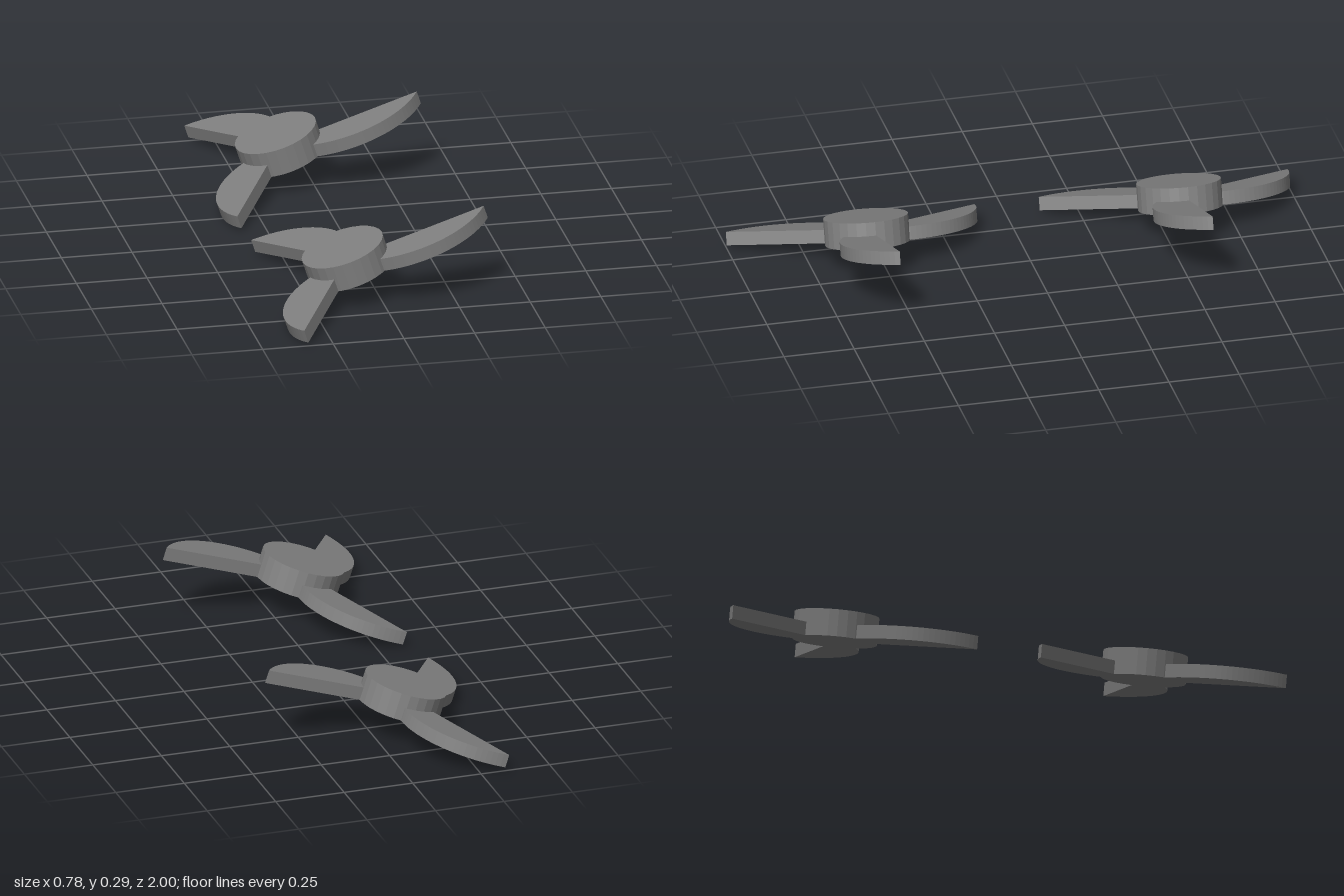
import * as THREE from 'three';

const R = 0.1475;            // hub radius
const HUB_H = 0.0945;
const BLADE_H = 0.0472;
const TILT = THREE.MathUtils.degToRad(18);

const material = new THREE.MeshStandardMaterial({ color: 0x808080, flatShading: true });

// Circular-segment blade: straight edge along +x, bulging toward +z
function bladeGeometry() {
  const half = 2 * R * Math.sin(Math.PI / 3);
  const shape = new THREE.Shape();
  shape.moveTo(0, 0);
  shape.lineTo(2 * half, 0);
  shape.absarc(half, -R, 2 * R, Math.PI / 6, Math.PI * 5 / 6, false);
  const geo = new THREE.ExtrudeGeometry(shape, { depth: BLADE_H, bevelEnabled: false, curveSegments: 16 });
  return geo.rotateX(Math.PI / 2).translate(0, BLADE_H, 0);
}

function createPropeller(bladeGeo) {
  const propeller = new THREE.Group();
  const hub = new THREE.Mesh(new THREE.CylinderGeometry(R, R, HUB_H, 28), material);
  hub.name = 'hub';
  hub.position.y = HUB_H / 2;
  propeller.add(hub);
  for (let i = 0; i < 3; i++) {
    const blade = new THREE.Mesh(bladeGeo, material);
    blade.name = 'blade' + (i + 1);
    blade.rotation.y = i * Math.PI * 2 / 3;
    propeller.add(blade);
  }
  return propeller;
}

export function createModel() {
  const model = new THREE.Group();
  model.name = 'propellerPair';
  const bladeGeo = bladeGeometry();
  // Two identical propellers, front and rear, tilted up toward +x
  for (const [name, z] of [['frontPropeller', 0.5575], ['rearPropeller', -0.5575]]) {
    const propeller = createPropeller(bladeGeo);
    propeller.name = name;
    propeller.rotation.z = TILT;
    propeller.position.set(-0.0953, 0.0915, z);
    model.add(propeller);
  }
  return model;
}
